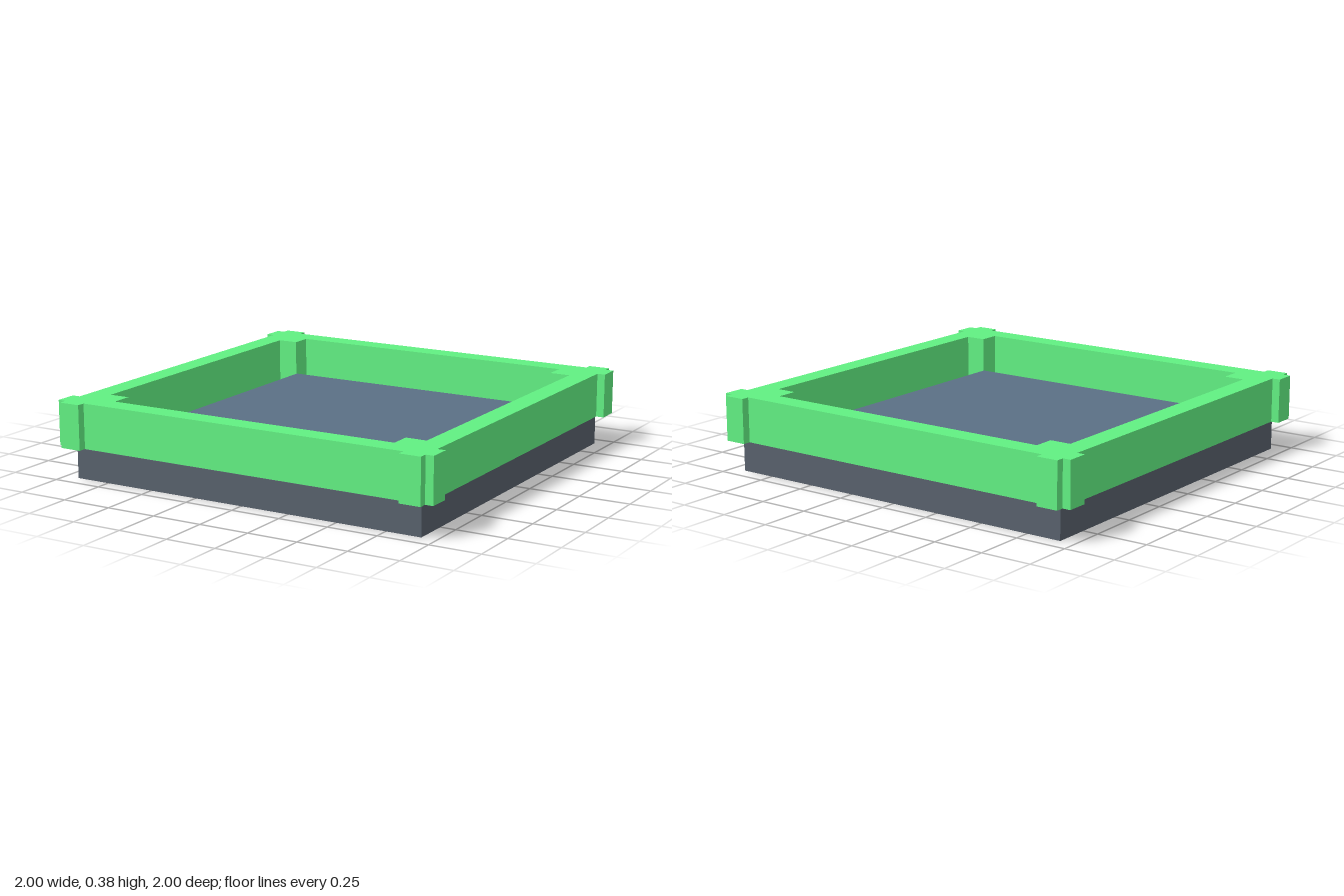
import * as THREE from 'three';

const WALL_IN = 0.853, WALL_OUT = 0.96, POST_IN = 0.75, POST_OUT = 1;

// Repeats one corner's points around the four quarters of a square outline
function fourCorners(corner) {
  const points = [];
  for (let i = 0; i < 4; i++) {
    for (const [x, y] of corner) {
      points.push(new THREE.Vector2(x, y).rotateAround(new THREE.Vector2(), i * Math.PI / 2));
    }
  }
  return points;
}

function box(name, width, y0, y1, material) {
  const mesh = new THREE.Mesh(new THREE.BoxGeometry(width, y1 - y0, width), material);
  mesh.position.y = (y0 + y1) / 2;
  mesh.name = name;
  return mesh;
}

export function createModel() {
  const green = new THREE.MeshStandardMaterial({ color: 0x61ef82 });
  const dark = new THREE.MeshStandardMaterial({ color: 0x57606b });
  const blue = new THREE.MeshStandardMaterial({ color: 0x5a7085 });
  const group = new THREE.Group();

  // Base slab with a raised panel reaching up inside the frame
  group.add(box('base', 1.85, 0, 0.147, dark));
  group.add(box('panel', 1.48, 0.147, 0.21, blue));

  // Square frame: corner ribs stick out past the walls, corner posts fill the inside
  const outline = new THREE.Shape(fourCorners([
    [WALL_OUT, WALL_IN], [POST_OUT, WALL_IN], [POST_OUT, WALL_OUT], [WALL_OUT, WALL_OUT],
    [WALL_OUT, POST_OUT], [WALL_IN, POST_OUT], [WALL_IN, WALL_OUT],
  ]));
  outline.holes.push(new THREE.Path(fourCorners([
    [WALL_IN, POST_IN], [POST_IN, POST_IN], [POST_IN, WALL_IN],
  ])));
  const geometry = new THREE.ExtrudeGeometry(outline, { depth: 0.22, bevelEnabled: false });
  geometry.rotateX(-Math.PI / 2);
  const frame = new THREE.Mesh(geometry, green);
  frame.position.y = 0.16;
  frame.name = 'frame';
  group.add(frame);

  return group;
}
